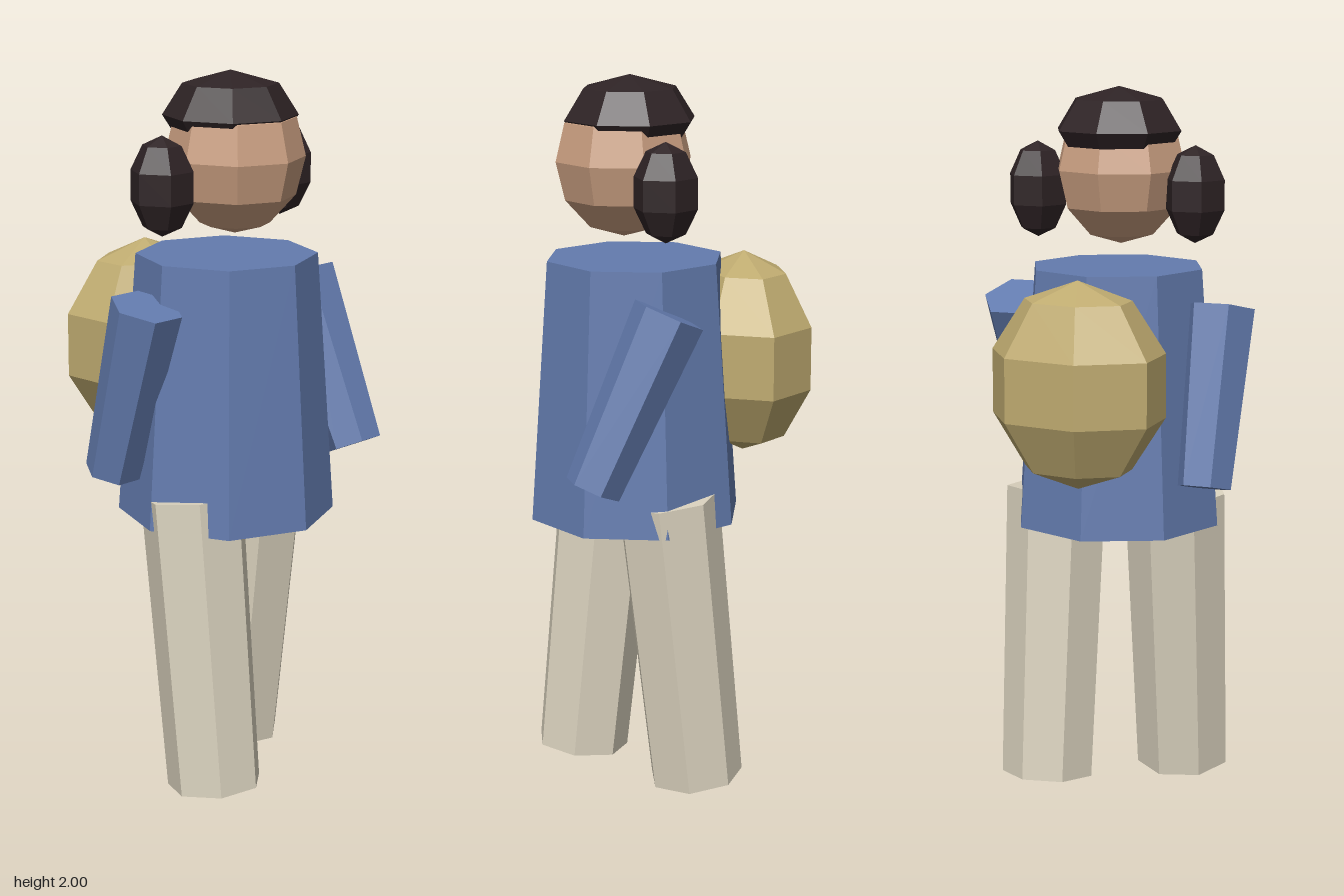
import * as THREE from 'three';

const paint = (name, color) => {
  const m = new THREE.MeshStandardMaterial({ color });
  m.name = name;
  return m;
};

export function createModel() {
  const root = new THREE.Group();
  root.name = 'walkingFigure';
  const coat = paint('coatBlue', 0x637bae);
  const trousers = paint('trouserCream', 0xdad2be);
  const skin = paint('skin', 0xc99e80);
  const hair = paint('darkHair', 0x2e2325);
  const canvas = paint('packTan', 0xbfab70);

  // Faceted mesh: unshared corners give one normal per face
  const add = (name, geometry, material) => {
    const flat = geometry.toNonIndexed();
    flat.computeVertexNormals();
    const mesh = new THREE.Mesh(flat, material);
    mesh.name = name;
    root.add(mesh);
    return mesh;
  };

  // Low-poly ellipsoid
  const ball = (name, material, pos, radii, around, rows, start = 0) => {
    const g = new THREE.SphereGeometry(1, around, rows, start);
    g.scale(...radii);
    add(name, g, material).position.set(...pos);
  };

  // Tapered prism between two points
  const limb = (name, material, top, bottom, rTop, rBottom, sides) => {
    const a = new THREE.Vector3(...top);
    const b = new THREE.Vector3(...bottom);
    const axis = a.clone().sub(b);
    const mesh = add(name, new THREE.CylinderGeometry(rTop, rBottom, axis.length(), sides), material);
    mesh.position.copy(a).add(b).multiplyScalar(0.5);
    mesh.quaternion.setFromUnitVectors(new THREE.Vector3(0, 1, 0), axis.normalize());
  };

  // Flared coat
  limb('coat', coat, [0.098, 1.5, 0], [0.098, 0.77, 0], 0.25, 0.302, 8);

  // Swinging arms
  limb('nearArm', coat, [0.094, 1.397, 0.305], [-0.043, 0.912, 0.305], 0.1, 0.078, 6);
  limb('farArm', coat, [0.096, 1.397, -0.305], [0.31, 0.935, -0.305], 0.1, 0.078, 6);

  // Striding legs
  limb('nearLeg', trousers, [0.13, 0.855, 0.166], [0.216, 0.018, 0.166], 0.146, 0.134, 7);
  limb('farLeg', trousers, [0.06, 0.855, -0.169], [-0.027, 0.018, -0.169], 0.146, 0.134, 7);

  // Head, cap of hair and side bunches
  ball('head', skin, [0.128, 1.77, 0], [0.192, 0.21, 0.19], 8, 6);
  ball('hairCap', hair, [0.11, 1.88, 0], [0.185, 0.12, 0.183], 8, 4);
  for (const s of [-1, 1]) {
    ball('hairBunch', hair, [0.082, 1.71, s * 0.233], [0.092, 0.135, 0.089], 6, 5, Math.PI / 2);
  }

  // Rounded pack on the back
  ball('backpack', canvas, [-0.222, 1.212, 0], [0.195, 0.288, 0.263], 7, 5, -Math.PI / 2);

  return root;
}
